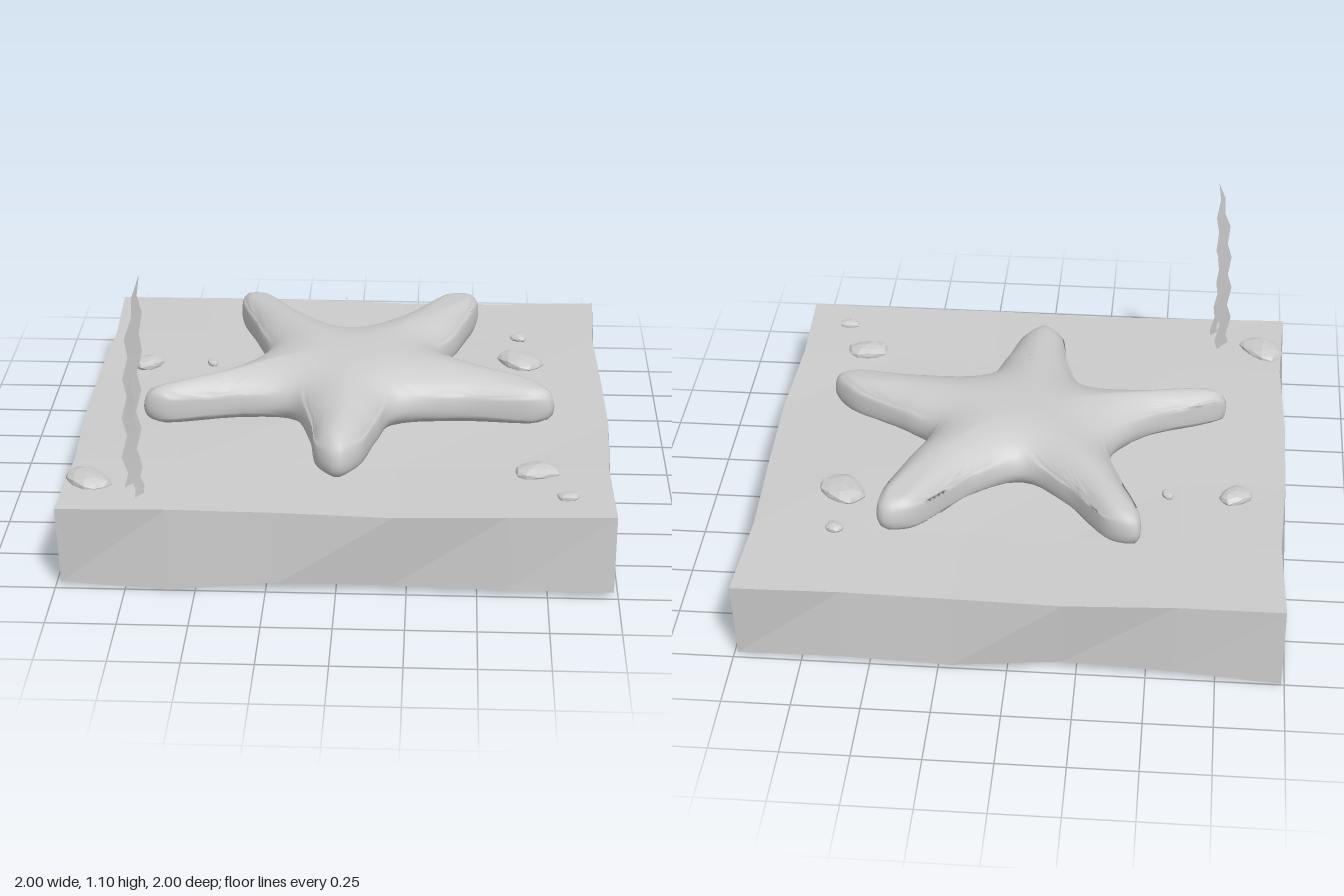
import * as THREE from 'three';
import { mergeVertices } from 'three/addons/utils/BufferGeometryUtils.js';

const smooth = new THREE.MeshStandardMaterial({ color: 0xcccccc });
const faceted = new THREE.MeshStandardMaterial({ color: 0xcccccc, flatShading: true });
const leafy = new THREE.MeshStandardMaterial({ color: 0xcccccc, flatShading: true, side: THREE.DoubleSide });

function part(name, geometry, material) {
  const mesh = new THREE.Mesh(geometry, material);
  mesh.name = name;
  return mesh;
}

// Move every vertex of a geometry by a rule
function deform(geometry, rule) {
  const p = geometry.attributes.position;
  const v = new THREE.Vector3();
  for (let i = 0; i < p.count; i++) {
    v.fromBufferAttribute(p, i);
    rule(v);
    p.setXYZ(i, v.x, v.y, v.z);
  }
  geometry.computeVertexNormals();
  return geometry;
}

// Sand slab with a gently uneven top, wavy underside and wobbling edges
function makeSand() {
  const box = new THREE.BoxGeometry(2, 0.3, 2, 5, 1, 5);
  return deform(box, (v) => {
    const { x, y, z } = v;
    if (y > 0) {
      v.y = 0.313 + 0.008 * Math.sin(3 * x + 1) * Math.cos(4 * z);
    } else {
      v.y = 0.025 + 0.013 * Math.sin(6 * x + 2.5 * z) + 0.012 * Math.cos(7 * z - 3 * x);
    }
    if (Math.abs(x) > 0.99) v.x -= Math.sign(x) * (0.012 + 0.012 * Math.sin(5 * z + 3 * x + 9 * y));
    if (Math.abs(z) > 0.99) v.z -= Math.sign(z) * (0.01 + 0.01 * Math.sin(5 * x + 2 * z + 9 * y));
  });
}

// Starfish: outline seen from above, inflated by distance from its edge
function makeStarfish() {
  const outline = [
    [-0.45, -0.69], [-0.35, -0.67], [-0.18, -0.465], [0, -0.33], [0.165, -0.42], [0.38, -0.67],
    [0.48, -0.695], [0.508, -0.645], [0.435, -0.34], [0.37, -0.125], [0.487, -0.01], [0.72, 0.135],
    [0.79, 0.235], [0.73, 0.272], [0.433, 0.257], [0.193, 0.3], [0.128, 0.46], [0.064, 0.65],
    [-0.01, 0.715], [-0.085, 0.65], [-0.123, 0.46], [-0.21, 0.257], [-0.395, 0.235], [-0.69, 0.278],
    [-0.765, 0.23], [-0.69, 0.176], [-0.45, 0.043], [-0.326, -0.155], [-0.38, -0.395], [-0.46, -0.635],
  ].map(([x, z]) => new THREE.Vector3(x, 0, z));
  const sides = 240, rings = 24;
  const edge = new THREE.CatmullRomCurve3(outline, true).getSpacedPoints(sides).slice(0, sides);
  const positions = [], index = [];
  for (let i = 0; i <= 2 * rings; i++) {
    const s = i === 2 * rings ? 0 : Math.sin((i / rings) * Math.PI / 2);
    for (const q of edge) {
      const x = q.x * s, z = q.z * s;
      const r = Math.hypot(x, z);
      let d = Infinity;
      for (const e of edge) d = Math.min(d, Math.hypot(e.x - x, e.z - z));
      if (i === rings) d = 0;
      const inset = Math.min(d / Math.max(0.29 - 0.33 * r, 0.045), 1);
      const bulge = Math.sqrt(1 - (1 - inset) ** 2) * (1 - 0.75 * r * r);
      const middle = 0.39 + 0.015 * x - 0.035 * z;
      positions.push(x, middle + bulge * (i <= rings ? 0.14 : -0.11), z);
    }
  }
  for (let i = 0; i < 2 * rings; i++) {
    for (let j = 0; j < sides; j++) {
      const k = (j + 1) % sides;
      const a = i * sides + j, b = i * sides + k;
      const c = a + sides, d = b + sides;
      if (i > 0) index.push(a, b, c);
      if (i < 2 * rings - 1) index.push(b, d, c);
      else if (i === 0) index.push(b, d, c);
    }
  }
  const geometry = new THREE.BufferGeometry();
  geometry.setAttribute('position', new THREE.Float32BufferAttribute(positions, 3));
  geometry.setIndex(index);
  const merged = mergeVertices(geometry);
  merged.computeVertexNormals();
  return merged;
}

// Flattened, chipped stone
function makePebble(seed) {
  return deform(new THREE.IcosahedronGeometry(1, 1), (v) => {
    const k = 1 + 0.1 * Math.sin(4 * v.x + seed) * Math.cos(3 * v.z + 2 * seed);
    v.multiplyScalar(k);
    v.x = THREE.MathUtils.clamp(v.x, -0.92, 0.92);
    v.z = THREE.MathUtils.clamp(v.z, -0.92, 0.92);
  });
}

// Thin zigzag blade standing on the sand, tapering to a point
function makeBlade(x, z, height, width, lean, steps) {
  const blade = new THREE.PlaneGeometry(1, 1, 1, steps);
  return deform(blade, (v) => {
    const t = v.y + 0.5;
    const zigzag = (Math.round(t * steps) % 2 ? 1 : -1) * width * 0.22;
    const taper = t < 0.75 ? 1 : Math.max((1 - t) / 0.25, 0.02);
    const along = v.x * width * taper + zigzag * (1 - t * 0.5) + lean * t;
    const bow = -0.012 * Math.sin(Math.PI * t);
    v.set(x + 0.6 * along + bow, 0.29 + t * height, z - 0.8 * along);
  });
}

export function createModel() {
  const group = new THREE.Group();
  group.add(part('sandSlab', makeSand(), faceted));
  group.add(part('starfish', makeStarfish(), smooth));

  // Pebbles: x, z, half length, half width, half height, turn
  const pebbles = [
    [-0.805, -0.29, 0.068, 0.053, 0.026, 0.7],
    [-0.55, -0.3, 0.03, 0.021, 0.014, -1.1],
    [0.675, -0.365, 0.102, 0.078, 0.032, -0.75],
    [0.675, -0.605, 0.037, 0.03, 0.017, -0.5],
    [0.715, 0.63, 0.087, 0.06, 0.028, 0.1],
    [0.82, 0.832, 0.042, 0.028, 0.016, 0],
    [-0.905, 0.765, 0.1, 0.072, 0.03, -0.75],
  ];
  pebbles.forEach(([x, z, length, width, height, turn], i) => {
    const pebble = part('pebble', makePebble(i * 1.7), faceted);
    pebble.scale.set(length, height, width);
    pebble.rotation.y = turn;
    pebble.position.set(x, 0.32, z);
    group.add(pebble);
  });

  // Two seaweed blades at the front right corner
  group.add(part('tallSeaweed', makeBlade(-0.738, 0.787, 0.81, 0.075, 0.06, 11), leafy));
  group.add(part('shortSeaweed', makeBlade(-0.7, 0.877, 0.5, 0.045, -0.03, 9), leafy));

  // Tiny bubble above the starfish
  const bubble = part('bubble', new THREE.SphereGeometry(0.003, 8, 6), smooth);
  bubble.position.set(-0.003, 0.73, 0);
  group.add(bubble);
  return group;
}
